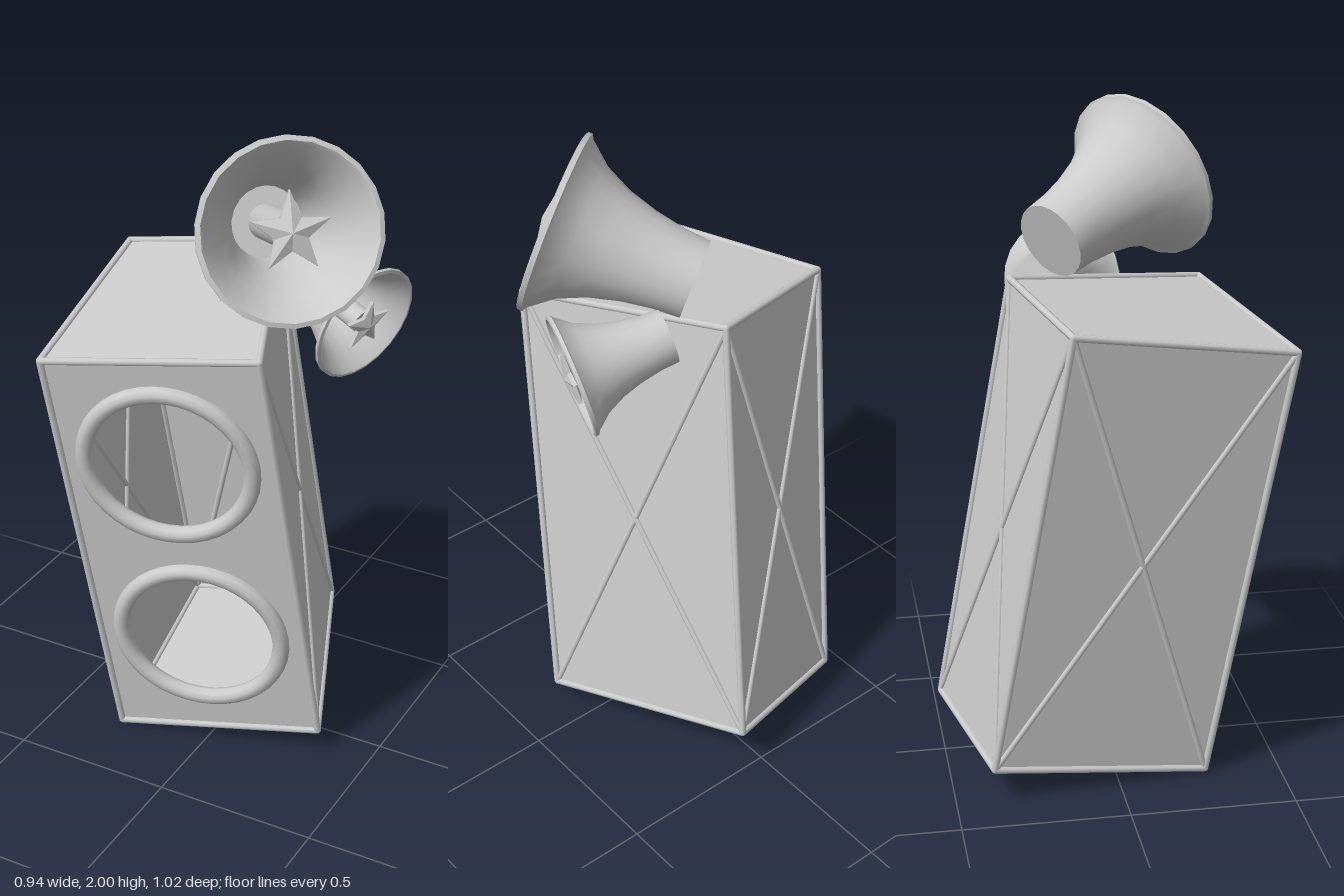
import * as THREE from 'three';
import { toCreasedNormals } from 'three/addons/utils/BufferGeometryUtils.js';

const grey = new THREE.MeshStandardMaterial({ color: 0xcccccc, side: THREE.DoubleSide });
const faceted = new THREE.MeshStandardMaterial({ color: 0xcccccc, flatShading: true });

// Cabinet: a tapered prism, front at z = 0
const H = 1.37, FRONT = 0.318, BACK = 0.235, DEPTH = 0.665;
const HOLES = [0.375, 1.015], HOLE_R = 0.235;

function add(parent, name, geometry, material = grey) {
  const mesh = new THREE.Mesh(geometry, material);
  mesh.name = name;
  parent.add(mesh);
  return mesh;
}

// Flat four-cornered sheet
function panel(parent, name, a, b, c, d) {
  const g = new THREE.BufferGeometry().setFromPoints([a, b, c, a, c, d]);
  g.computeVertexNormals();
  return add(parent, name, g);
}

// Thin round rod between two points, with ball ends for corner joints
function rod(parent, name, a, b, r, joint) {
  const dir = b.clone().sub(a);
  const bar = add(parent, name, new THREE.CylinderGeometry(r, r, dir.length(), 8));
  bar.position.copy(a).add(b).multiplyScalar(0.5);
  bar.quaternion.setFromUnitVectors(new THREE.Vector3(0, 1, 0), dir.normalize());
  if (joint) add(parent, name + 'Joint', new THREE.SphereGeometry(r, 8, 6)).position.copy(a);
}

function createCabinet() {
  const cabinet = new THREE.Group();
  cabinet.name = 'cabinet';

  // Corners run front left, front right, back right, back left (seen from the front)
  const outline = [[-FRONT, 0], [FRONT, 0], [BACK, -DEPTH], [-BACK, -DEPTH]];
  const low = outline.map(([x, z]) => new THREE.Vector3(x, 0, z));
  const high = outline.map(([x, z]) => new THREE.Vector3(x, H, z));

  // Front board with two round openings
  const board = new THREE.Shape();
  board.moveTo(-FRONT, 0).lineTo(FRONT, 0).lineTo(FRONT, H).lineTo(-FRONT, H).closePath();
  for (const y of HOLES) {
    const hole = new THREE.Path();
    hole.absarc(0, y, HOLE_R, 0, Math.PI * 2, true);
    board.holes.push(hole);
  }
  add(cabinet, 'frontBoard', new THREE.ShapeGeometry(board, 24));

  // Rings around the openings
  for (const y of HOLES) {
    add(cabinet, 'speakerRing', new THREE.TorusGeometry(0.249, 0.026, 10, 40)).position.set(0, y, 0.004);
  }

  panel(cabinet, 'bottomPanel', low[3], low[2], low[1], low[0]);
  panel(cabinet, 'topPanel', high[0], high[1], high[2], high[3]);
  const names = ['front', 'leftSide', 'back', 'rightSide'];
  for (let i = 0; i < 4; i++) {
    const j = (i + 1) % 4;
    rod(cabinet, 'bottomEdge', low[i], low[j], 0.011, true);
    rod(cabinet, 'topEdge', high[i], high[j], 0.011, true);
    rod(cabinet, 'uprightEdge', low[i], high[i], 0.011, false);
    if (i === 0) continue;
    // Closed walls carry crossed braces
    panel(cabinet, names[i] + 'Panel', low[i], low[j], high[j], high[i]);
    rod(cabinet, names[i] + 'Brace', low[i], high[j], 0.009, false);
    rod(cabinet, names[i] + 'Brace', low[j], high[i], 0.009, false);
  }

  // Whole cabinet leans back and turns a little
  const right = new THREE.Vector3(0.963, 0.108, -0.247).normalize();
  const front = right.clone().cross(new THREE.Vector3(-0.06, 0.985, 0.163)).normalize();
  const up = front.clone().cross(right);
  cabinet.quaternion.setFromRotationMatrix(new THREE.Matrix4().makeBasis(right, up, front));
  cabinet.position.set(0.03, 0.048, 0.192);
  return cabinet;
}

// Five-pointed star, raised in the middle, facing +z
function starGeometry(radius) {
  const profile = [[0, -0.028], [radius, -0.008], [radius, 0.008], [0, 0.028]]
    .map(([x, y]) => new THREE.Vector2(x, y));
  const g = new THREE.LatheGeometry(profile, 10);
  const p = g.attributes.position;
  for (let i = 0; i < p.count; i++) {
    // Every second column is drawn in to form the notches
    const k = Math.floor(i / profile.length) % 2 ? 0.42 : 1;
    p.setX(i, p.getX(i) * k);
    p.setZ(i, p.getZ(i) * k);
  }
  return g.rotateX(Math.PI / 2).rotateZ(Math.PI);
}

// Flared horn opening toward +z, with the mouth centre at the origin
function createHorn(name, mouth, direction, scale) {
  const horn = new THREE.Group();
  horn.name = name;

  // Outer flare, rolled lip, then back down the inside
  const profile = [
    [0, -0.42], [0.115, -0.42], [0.12, -0.34], [0.135, -0.25], [0.16, -0.16], [0.197, -0.08],
    [0.25, -0.015], [0.264, -0.008], [0.264, 0.006], [0.25, 0.01], [0.24, 0],
    [0.188, -0.075], [0.15, -0.155], [0.125, -0.25], [0.11, -0.34], [0.106, -0.4], [0, -0.4],
  ].map(([x, y]) => new THREE.Vector2(x, y));
  const bell = new THREE.LatheGeometry(profile, 22).rotateX(Math.PI / 2);
  add(horn, 'hornBell', toCreasedNormals(bell, 0.7));

  // Post carrying the star
  const post = new THREE.CylinderGeometry(0.052, 0.052, 0.39, 20).rotateX(Math.PI / 2);
  add(horn, 'hornPost', post).position.z = -0.205;
  add(horn, 'hornStar', starGeometry(0.118), faceted).position.z = 0.01;

  horn.position.set(...mouth);
  horn.lookAt(new THREE.Vector3(...mouth).add(new THREE.Vector3(...direction)));
  horn.scale.setScalar(scale);
  return horn;
}

export function createModel() {
  const model = new THREE.Group();
  model.name = 'speakerWithHorns';
  model.add(createCabinet());
  model.add(createHorn('largeHorn', [0.245, 1.75, 0.163], [0.58, 0.31, 0.75], 1));
  model.add(createHorn('smallHorn', [0.37, 1.41, -0.066], [0.9, -0.25, 0.34], 0.69));
  return model;
}
